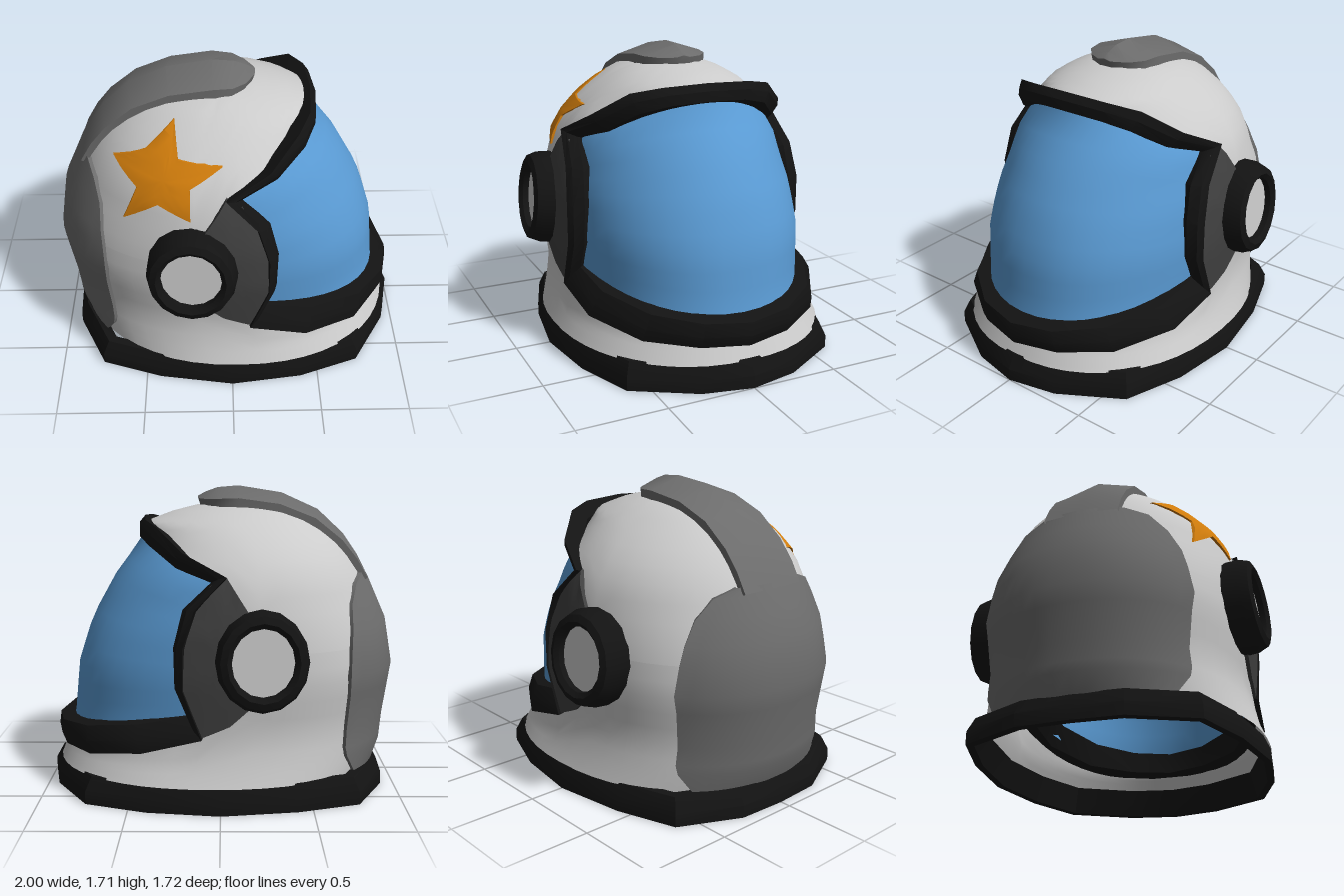
import * as THREE from 'three';
import { toCreasedNormals } from 'three/addons/utils/BufferGeometryUtils.js';

// Horizontal sections of the helmet: y, back x, front x, half width
const LEVELS = [
  [0.14, -0.88, 0.95, 0.78], [0.25, -0.92, 0.9, 0.735], [0.4, -0.935, 0.865, 0.705],
  [0.7, -0.98, 0.835, 0.73], [0.95, -0.94, 0.755, 0.72], [1.2, -0.83, 0.615, 0.665],
  [1.3, -0.77, 0.54, 0.605], [1.4, -0.69, 0.47, 0.515], [1.5, -0.585, 0.44, 0.395],
  [1.56, -0.46, 0.28, 0.295], [1.6, -0.31, 0.12, 0.18], [1.62, -0.1, -0.1, 0],
];
const TOP = 1.62;
const { lerp, smoothstep } = THREE.MathUtils;
const pow = (v, e) => Math.sign(v) * Math.abs(v) ** e;

// Centre, half sizes and squareness n of the section at a height
function section(y, off = 0) {
  let i = 0;
  while (i < LEVELS.length - 2 && y > LEVELS[i + 1][0]) i++;
  const a = LEVELS[i], b = LEVELS[i + 1];
  const t = THREE.MathUtils.clamp((y - a[0]) / (b[0] - a[0]), 0, 1);
  const back = lerp(a[1], b[1], t), front = lerp(a[2], b[2], t);
  return {
    cx: (back + front) / 2, rx: (front - back) / 2 + off, rz: lerp(a[3], b[3], t) + off,
    n: lerp(2.2, 1.97, smoothstep(y, 0.7, 1.1)),
  };
}

// Point on the helmet surface by angle and height (angle 0 is the visor side)
function onSurface(phi, y, off = 0) {
  const s = section(y, off);
  return [s.cx + s.rx * pow(Math.cos(phi), 2 / s.n), y, s.rz * pow(Math.sin(phi), 2 / s.n)];
}

// Point on the helmet surface seen from the side
function fromSide(x, y, side, off) {
  const s = section(y, off);
  const c = Math.min(1, Math.abs((x - s.cx) / s.rx));
  return [x, y, side * s.rz * (1 - c ** s.n) ** (1 / s.n)];
}

// Edges of the visor opening
const upperLine = y => (y > 1.24 ? 1.69 : 0.51) * (y - 1.24);
const lowerLine = y => (y < 0.44 ? 0.12 - 5.7 * (y - 0.44) : 0.12 - 0.78 * (y - 0.44));
const isOpen = phi => onSurface(phi, 0.85)[0] > -0.2;
function edge(phi, line, far) {
  if (!isOpen(phi)) return 0.85;
  let a = 0.85, b = far;
  for (let i = 0; i < 30; i++) {
    const m = (a + b) / 2;
    if (onSurface(phi, m)[0] > line(m)) a = m; else b = m;
  }
  return a;
}
const upperEdge = phi => edge(phi, upperLine, 1.56);
const lowerEdge = phi => edge(phi, lowerLine, 0.2);

// Surface through rows of points
function loft(rows, { closeRows = false, closeCols = false, crease = 0 } = {}) {
  const w = rows[0].length, h = rows.length, index = [];
  for (let i = 0; i < (closeRows ? h : h - 1); i++) {
    for (let j = 0; j < (closeCols ? w : w - 1); j++) {
      const a = i * w + j, b = i * w + (j + 1) % w;
      const c = ((i + 1) % h) * w + j, d = ((i + 1) % h) * w + (j + 1) % w;
      index.push(a, c, b, b, c, d);
    }
  }
  const g = new THREE.BufferGeometry();
  g.setAttribute('position', new THREE.Float32BufferAttribute(rows.flat(2), 3));
  g.setIndex(index);
  g.computeVertexNormals();
  return crease ? toCreasedNormals(g, crease) : g;
}

// Raised plate laid over the helmet side, from a side-view outline
function plate(outline, centre, side, off) {
  const pts = [];
  outline.forEach((p, i) => {
    const q = outline[(i + 1) % outline.length];
    for (let k = 0; k < 3; k++) pts.push([lerp(p[0], q[0], k / 3), lerp(p[1], q[1], k / 3)]);
  });
  const rows = [0, 0.25, 0.5, 0.75, 1].map(s =>
    pts.map(p => fromSide(lerp(centre[0], p[0], s), lerp(centre[1], p[1], s), side, off)));
  rows.push(pts.map(p => fromSide(p[0], p[1], side, -0.01)));
  if (side < 0) rows.forEach(r => r.reverse());
  return loft(rows, { closeCols: true, crease: 0.7 });
}

export function createModel() {
  const model = new THREE.Group();
  const mat = color => new THREE.MeshStandardMaterial({ color, side: THREE.DoubleSide });
  const white = mat(0xcccccc), black = mat(0x131313), dark = mat(0x404040);
  const grey = mat(0x6c6c6c), blue = mat(0x5a9bd4), orange = mat(0xd07c0c);
  const add = (name, geometry, material, parent = model) => {
    const m = new THREE.Mesh(geometry, material);
    m.name = name;
    parent.add(m);
    return m;
  };
  const flip = p => p.with(-1, -p.at(-1));
  const mirrorLoop = (list, flipItem) => [...list, ...list.slice(1, -1).reverse().map(flipItem)];

  // Shell below and above the opening, and the slightly narrower visor filling it
  const COLS = 48;
  const angles = Array.from({ length: COLS }, (_, i) => (i / COLS) * 2 * Math.PI);
  const rowsBetween = (list, lo, hi, n, ease = t => t) => Array.from({ length: n + 1 }, (_, k) =>
    list.map(phi => onSurface(phi, lerp(lo(phi), hi(phi), ease(k / n)))));
  add('lowerShell', loft(rowsBetween(angles, () => 0.14, lowerEdge, 8), { closeCols: true }), white);
  add('upperShell', loft(rowsBetween(angles, upperEdge, () => TOP, 12, t => Math.sin(t * Math.PI / 2)),
    { closeCols: true }), white);
  const front = angles.map(a => a - Math.PI).filter(isOpen);
  add('visor', loft(rowsBetween(front, lowerEdge, upperEdge, 12)).scale(1, 1, 0.915), blue);

  // Neck ring: half plan mirrored, with a chamfered profile of scale and height
  const neckPlan = mirrorLoop([[1, 0], [0.94, 0.28], [0.74, 0.62], [0.4, 0.745], [0, 0.8],
    [-0.42, 0.735], [-0.76, 0.62], [-0.925, 0.28], [-0.94, 0]], flip);
  const neckProfile = [[0.95, 0], [1, 0], [1, 0.07], [0.955, 0.15], [0.9, 0.152]];
  add('neckRing', loft(neckProfile.map(([s, y]) => neckPlan.map(([x, z]) => [x * s, y, z * s])),
    { closeRows: true, closeCols: true, crease: 0.6 }), black);

  // Visor rim: outer and inner corner at each station, top centre to bottom centre
  const rimHalf = [
    [[0.44, 1.535, 0], [0.475, 1.44, 0]],
    [[0.42, 1.525, 0.26], [0.455, 1.43, 0.22]],
    [[0.35, 1.495, 0.42], [0.39, 1.39, 0.38]],
    [[0.2, 1.37, 0.585], [0.24, 1.285, 0.52]],
    [[-0.03, 1.255, 0.68], [0.05, 1.22, 0.61]],
    [[0.14, 1.08, 0.715], [0.2, 1.08, 0.635]],
    [[0.2, 0.88, 0.735], [0.25, 0.88, 0.65]],
    [[0.2, 0.66, 0.735], [0.245, 0.66, 0.655]],
    [[0.1, 0.395, 0.735], [0.18, 0.505, 0.66]],
    [[0.42, 0.315, 0.705], [0.45, 0.455, 0.635]],
    [[0.72, 0.255, 0.52], [0.74, 0.405, 0.48]],
    [[0.89, 0.235, 0.26], [0.91, 0.375, 0.25]],
    [[0.95, 0.225, 0], [0.965, 0.36, 0]],
  ];
  const push = (p, amount) => {
    const d = new THREE.Vector3(p[0] + 0.1, (p[1] - 0.85) * 0.5, p[2]).setLength(amount);
    return [p[0] + d.x, p[1] + d.y, p[2] + d.z];
  };
  const rim = mirrorLoop(rimHalf, station => station.map(flip));
  add('visorRim', loft(rim.map(([o, i]) => {
    const middle = o.map((v, k) => (v + i[k]) / 2);
    return [push(o, -0.1), o, push(middle, 0.018), i, push(i, -0.1)];
  }), { closeRows: true, closeCols: true, crease: 0.6 }), black);

  // Cheek plates and ear pieces on both sides
  const cheek = [[-0.03, 1.25], [0.05, 1.21], [0.16, 1.08], [0.21, 0.88], [0.21, 0.66], [0.15, 0.5],
    [0.11, 0.4], [-0.05, 0.47], [-0.17, 0.58], [-0.28, 0.82], [-0.16, 1.05]];
  const earProfile = [[0.25, -0.05], [0.245, 0.07], [0.225, 0.125], [0.19, 0.14], [0.165, 0.12], [0.165, 0.06]];
  for (const side of [1, -1]) {
    const label = side > 0 ? 'Left' : 'Right';
    add('cheekPlate' + label, plate(cheek, [0, 0.83], side, 0.02), dark);
    const ear = new THREE.Group();
    ear.name = 'earPiece' + label;
    ear.position.set(-0.215, 0.82, side * 0.7);
    ear.rotation.y = side > 0 ? 0 : Math.PI;
    const tilt = new THREE.Group();
    tilt.rotation.set(-0.08, -0.06 * side, 0);
    tilt.scale.y = 1.09;
    ear.add(tilt);
    const ring = new THREE.LatheGeometry(earProfile.map(p => new THREE.Vector2(...p)), 16).rotateX(Math.PI / 2);
    add('earRing', toCreasedNormals(ring, 0.6), black, tilt);
    add('earDisc', new THREE.CircleGeometry(0.17, 16).translate(0, 0, 0.085), white, tilt);
    model.add(ear);
  }

  // Back panel, following the shell with its edges turned in
  const panelEdge = [[0.14, -0.73], [0.25, -0.68], [0.3, -0.67], [0.4, -0.675], [0.6, -0.69], [0.7, -0.69],
    [0.85, -0.695], [0.95, -0.7], [1.08, -0.7], [1.18, -0.73], [1.225, -0.77]];
  const panelRow = ([y, x], off) => {
    const s = section(y);
    const a = Math.acos(Math.min(1, Math.abs((x - s.cx) / s.rx)) ** (s.n / 2));
    const row = [];
    for (let k = -8; k <= 8; k++) row.push(onSurface(Math.PI + a * k / 8, y, off));
    return [onSurface(Math.PI - a, y, -0.012), ...row, onSurface(Math.PI + a, y, -0.012)];
  };
  add('backPanel', loft(panelEdge.map(p => panelRow(p, 0.02)), { crease: 0.7 }), grey);
  add('backPanelLining', loft(panelEdge.map(p => panelRow(p, -0.02))), grey);

  // Crest over the crown: x, ridge height, half width, drop from ridge to edge
  const crest = [[-0.85, 1.2, 0.21, 0.02], [-0.79, 1.315, 0.21, 0.025], [-0.71, 1.43, 0.21, 0.035],
    [-0.56, 1.57, 0.21, 0.05], [-0.35, 1.665, 0.21, 0.06], [-0.1, 1.705, 0.21, 0.065],
    [0.02, 1.695, 0.19, 0.06], [0.09, 1.67, 0.13, 0.04], [0.135, 1.645, 0.04, 0.012], [0.135, 1.64, 0, 0]];
  add('crest', loft(crest.map(([x, y, w, drop]) => {
    const d = new THREE.Vector2(x + 0.1, y - 0.9).normalize();
    const at = (depth, z) => [x - d.x * depth, y - d.y * depth, z];
    return [at(drop + 0.06, -w), at(drop, -w), at(0, 0), at(drop, w), at(drop + 0.06, w)];
  }), { crease: 0.6 }), grey);

  // Star on the left side
  const star = [[-0.3, 1.53], [-0.28, 1.4], [-0.05, 1.38], [-0.22, 1.29], [-0.22, 1.13],
    [-0.39, 1.2], [-0.58, 1.07], [-0.5, 1.25], [-0.63, 1.33], [-0.45, 1.41]];
  add('star', plate(star, [-0.36, 1.31], 1, 0.01), orange);

  return model;
}
